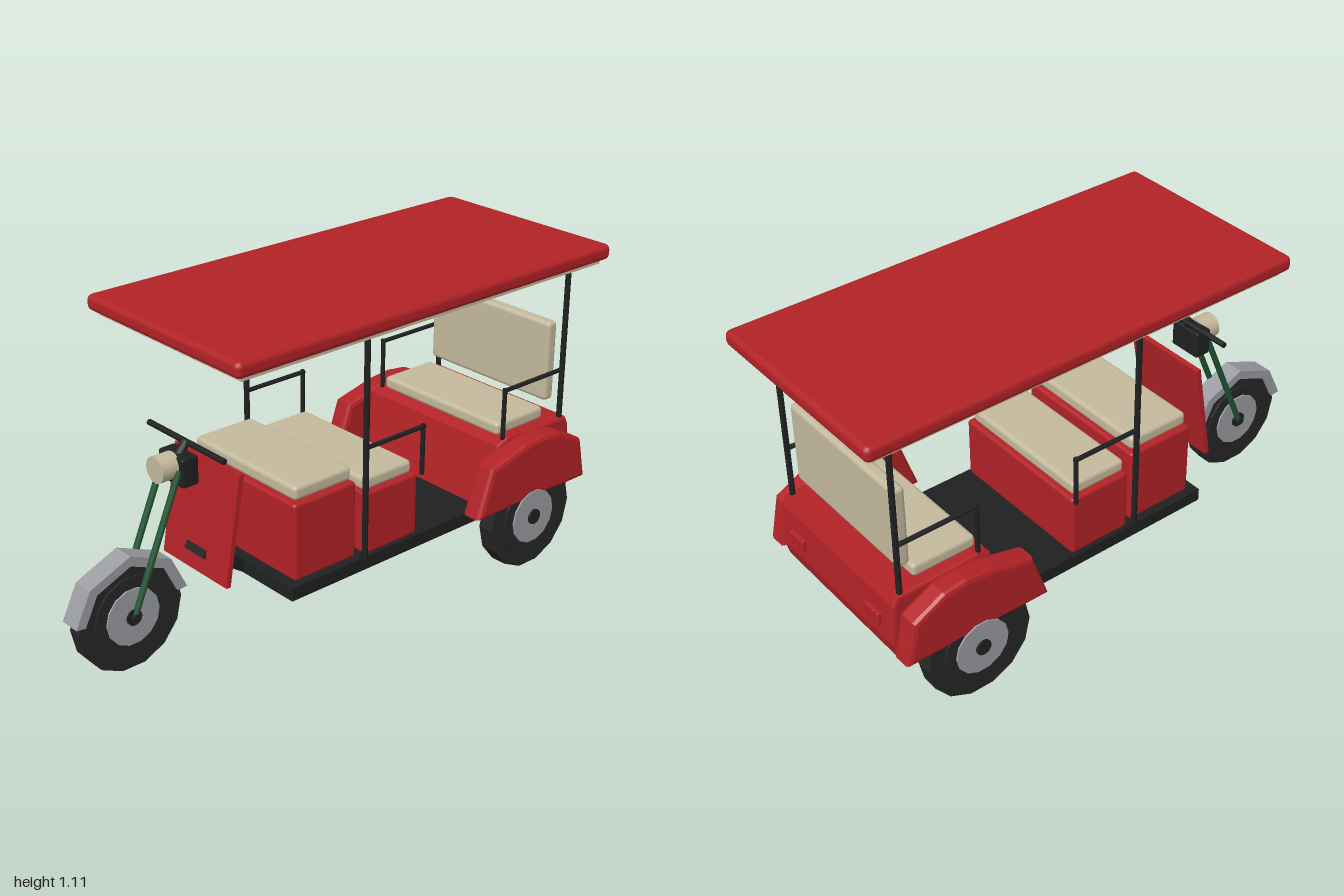
import * as THREE from 'three';
import { toCreasedNormals } from 'three/addons/utils/BufferGeometryUtils.js';
import { RoundedBoxGeometry } from 'three/addons/geometries/RoundedBoxGeometry.js';

const mat = (name, color) => {
  const m = new THREE.MeshStandardMaterial({ color });
  m.name = name;
  return m;
};

export function createModel() {
  const red = mat('red paint', 0xb22226);
  const beige = mat('beige vinyl', 0xc4b99d);
  const black = mat('black metal', 0x1f2021);
  const rubber = mat('tyre rubber', 0x262626);
  const grey = mat('grey metal', 0x9a9ca1);
  const green = mat('green paint', 0x1f5532);

  const root = new THREE.Group();
  root.name = 'passengerTricycle';

  const add = (name, geo, material, parent = root) => {
    const m = new THREE.Mesh(geo, material);
    m.name = name;
    parent.add(m);
    return m;
  };
  // Box given by its extents; r rounds the edges
  const box = (name, material, [x0, x1], [y0, y1], [z0, z1], r = 0) => {
    const s = [x1 - x0, y1 - y0, z1 - z0];
    const g = r ? new RoundedBoxGeometry(...s, 2, r) : new THREE.BoxGeometry(...s);
    g.translate((x0 + x1) / 2, (y0 + y1) / 2, (z0 + z1) / 2);
    return add(name, g, material);
  };
  // Round bar between two points
  const bar = (name, material, a, b, r, sides = 8) => {
    const p = new THREE.Vector3(...a), q = new THREE.Vector3(...b);
    const m = add(name, new THREE.CylinderGeometry(r, r, p.distanceTo(q), sides), material);
    m.position.copy(p).add(q).multiplyScalar(0.5);
    m.quaternion.setFromUnitVectors(new THREE.Vector3(0, 1, 0), q.sub(p).normalize());
    return m;
  };
  // Side profile of [z, y] points extruded across x
  const sidePanel = (name, material, pts, x, width, bevel) => {
    const g = new THREE.ExtrudeGeometry(new THREE.Shape(pts.map(p => new THREE.Vector2(...p))), {
      depth: width - 2 * bevel, bevelEnabled: bevel > 0, bevelSize: bevel,
      bevelThickness: bevel, bevelOffset: -bevel, bevelSegments: 2,
    });
    g.translate(0, 0, -(width - 2 * bevel) / 2).rotateY(-Math.PI / 2).translate(x, 0, 0);
    return add(name, g, material);
  };
  // Stepped wheel: tread, sidewall, rim disc and hub cap
  const wheel = (name, x, z, half) => {
    const group = new THREE.Group();
    group.name = name;
    group.position.set(x, 0.19, z);
    [['tread', rubber, 0.195, half - 0.008], ['sidewall', rubber, 0.14, half],
      ['rim', grey, 0.1, half + 0.006], ['hub', black, 0.028, half + 0.013]]
      .forEach(([part, material, r, h]) => {
        const g = new THREE.CylinderGeometry(r, r, h * 2, 14).rotateZ(Math.PI / 2);
        add(part, toCreasedNormals(g, 0.3), material, group);
      });
    root.add(group);
  };

  // Roof and lining
  box('roof', red, [-0.385, 0.385], [1.055, 1.11], [-1, 0.63], 0.02);
  box('roofLining', beige, [-0.36, 0.36], [1.04, 1.06], [-0.97, 0.6]);

  // Floor and front neck
  box('floor', black, [-0.295, 0.295], [0.19, 0.236], [-0.88, 0.36]);
  const neck = add('neckBeam', new THREE.BoxGeometry(0.1, 0.04, 0.22), black);
  neck.position.set(0, 0.26, 0.425);
  neck.rotation.x = -0.6;

  // Middle seats, back to back
  box('frontSeatBase', red, [-0.27, 0.27], [0.236, 0.512], [0.065, 0.327], 0.012);
  box('frontSeatCushion', beige, [-0.257, 0.257], [0.515, 0.565], [0.075, 0.315], 0.015);
  box('middleSeatBase', red, [-0.285, 0.285], [0.236, 0.463], [-0.198, 0.038], 0.012);
  box('middleSeatCushion', beige, [-0.27, 0.27], [0.463, 0.511], [-0.183, 0.033], 0.015);

  // Rear body, bench and tail lamps
  sidePanel('rearBody', red, [[-0.5, 0.236], [-0.912, 0.236], [-0.925, 0.29], [-0.915, 0.44],
    [-0.9, 0.472], [-0.6, 0.48], [-0.55, 0.46]], 0, 0.64, 0.01);
  box('rearSeatCushion', beige, [-0.283, 0.283], [0.477, 0.525], [-0.815, -0.58], 0.015);
  box('rearBackrest', beige, [-0.283, 0.283], [0.54, 0.835], [-0.866, -0.82], 0.015);

  // Paired parts on both sides
  for (const s of [-1, 1]) {
    const side = s > 0 ? 'left' : 'right';
    const x = 0.303 * s;
    bar(side + 'MiddlePost', black, [x, 0.236, 0.055], [x, 1.045, 0.055], 0.01);
    bar(side + 'RearPost', black, [x, 0.44, -0.88], [x, 1.045, -0.88], 0.01);
    bar(side + 'MiddleRail', black, [x, 0.64, 0.055], [x, 0.64, -0.205], 0.008);
    bar(side + 'MiddleRailLeg', black, [x, 0.648, -0.198], [x, 0.465, -0.198], 0.008);
    bar(side + 'RearRail', black, [x, 0.655, -0.88], [x, 0.655, -0.582], 0.008);
    bar(side + 'RearRailLeg', black, [x, 0.663, -0.588], [x, 0.465, -0.588], 0.008);
    box(side + 'TailLamp', red, [0.215 * s - 0.04, 0.215 * s + 0.04], [0.333, 0.38], [-0.934, -0.9], 0.005);

    sidePanel(side + 'RearFender', red, [[-0.385, 0.258], [-0.928, 0.258], [-0.895, 0.415],
      [-0.78, 0.475], [-0.7, 0.485], [-0.605, 0.475], [-0.445, 0.435]], 0.36 * s, 0.082, 0.016);
    wheel(side + 'RearWheel', 0.362 * s, -0.655, 0.038);

    bar(side + 'Fork', green, [0.044 * s, 0.19, 0.795], [0.044 * s, 0.64, 0.602], 0.011);
  }

  // Front wheel with faceted mudguard
  wheel('frontWheel', 0, 0.795, 0.033);
  bar('frontAxle', black, [-0.058, 0.19, 0.795], [0.058, 0.19, 0.795], 0.015);
  const arc = (r) => [8, 44, 90, 136, 172].map(d => {
    const a = THREE.MathUtils.degToRad(d);
    return [0.795 + r * Math.cos(a), 0.193 + r * Math.sin(a)];
  });
  sidePanel('frontMudguard', grey, [...arc(0.213), ...arc(0.178).reverse()], 0, 0.076, 0);

  // Leg shield
  const shield = add('frontShield', new THREE.BoxGeometry(0.334, 0.386, 0.018), red);
  shield.position.set(0, 0.433, 0.485);
  shield.rotation.x = -0.165;

  // Steering head, headlamp and handlebar
  box('steeringHead', black, [-0.063, 0.063], [0.582, 0.68], [0.54, 0.602], 0.006);
  bar('headlamp', beige, [0, 0.645, 0.595], [0, 0.645, 0.663], 0.045, 16);
  bar('handlebarStem', black, [0, 0.655, 0.585], [0, 0.708, 0.54], 0.016);
  bar('handlebar', black, [-0.195, 0.706, 0.54], [0.195, 0.706, 0.54], 0.01);

  return root;
}
